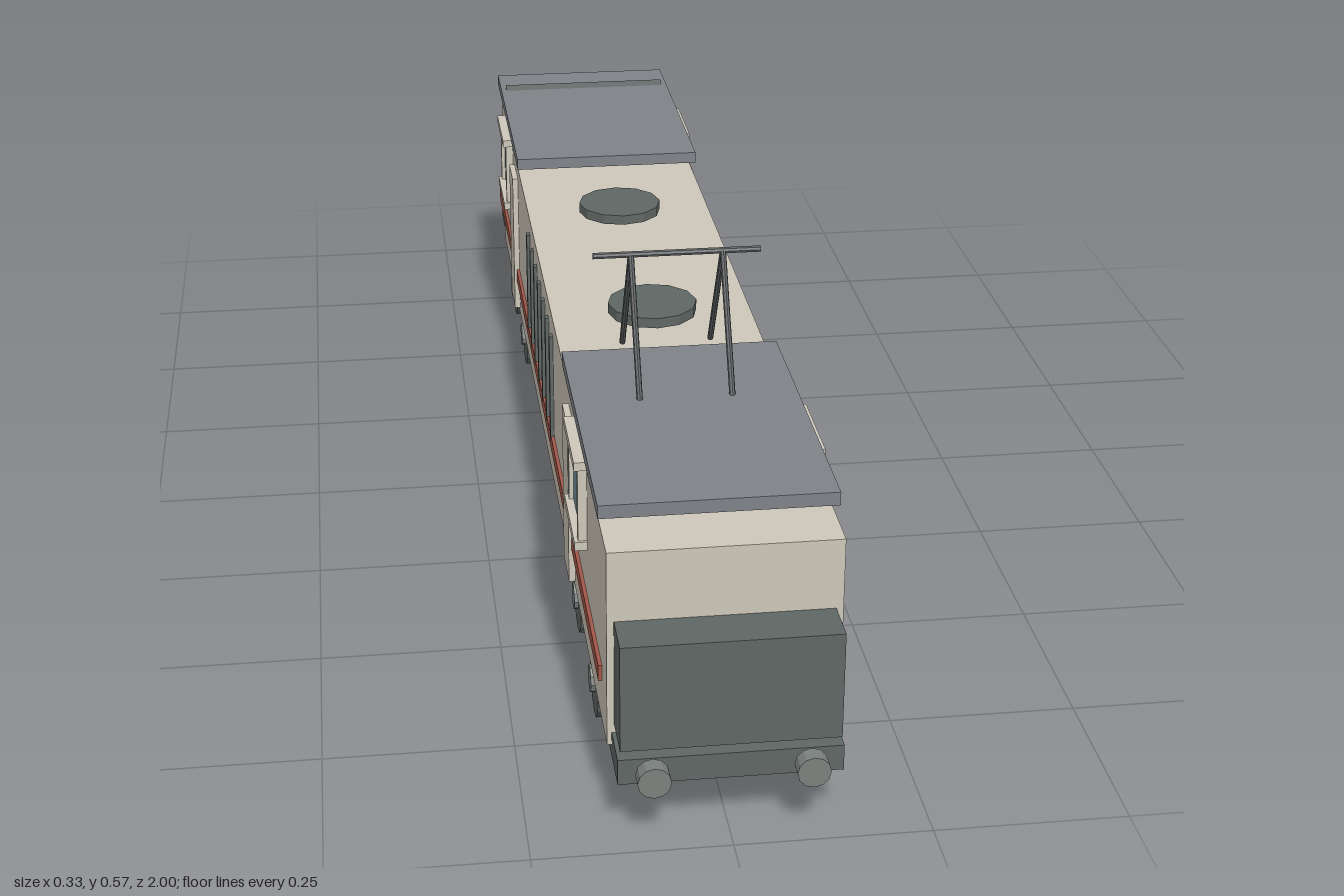
import * as THREE from 'three';

const mat = (color) => new THREE.MeshStandardMaterial({ color, flatShading: true });
const cream = mat(0xcdc7b9), dark = mat(0x5f6764), roofGrey = mat(0x7f8388), red = mat(0xa3584a);
const glass = mat(0x6d909c), steel = mat(0x7b817e), rodGrey = mat(0x5b5f61);

export function createModel() {
  const root = new THREE.Group();

  // Box given by its min/max extents on each axis
  const box = (name, m, [x0, x1], [y0, y1], [z0, z1], parent = root) => {
    const mesh = new THREE.Mesh(new THREE.BoxGeometry(x1 - x0, y1 - y0, z1 - z0), m);
    mesh.position.set((x0 + x1) / 2, (y0 + y1) / 2, (z0 + z1) / 2);
    mesh.name = name;
    parent.add(mesh);
    return mesh;
  };
  // Cylinder running between two points
  const rod = (name, m, a, b, r, sides = 12, parent = root) => {
    const p = new THREE.Vector3(...a), q = new THREE.Vector3(...b);
    const d = q.clone().sub(p);
    const mesh = new THREE.Mesh(new THREE.CylinderGeometry(r, r, d.length(), sides), m);
    mesh.position.copy(p).add(q).multiplyScalar(0.5);
    mesh.quaternion.setFromUnitVectors(new THREE.Vector3(0, 1, 0), d.normalize());
    mesh.name = name;
    parent.add(mesh);
    return mesh;
  };
  const span = (s, a, b) => (s > 0 ? [a, b] : [-b, -a]);

  // Underframe, body and end hoods
  box('underframe', dark, [-0.14, 0.14], [0.079, 0.114], [-0.972, 0.972]);
  box('body', cream, [-0.146, 0.146], [0.097, 0.366], [-0.806, 0.91]);
  box('frontHood', dark, [-0.137, 0.137], [0.126, 0.271], [0.85, 0.972]);
  box('rearHood', dark, [-0.137, 0.137], [0.126, 0.271], [-0.972, -0.75]);
  box('frontRoofRib', cream, [-0.143, 0.143], [0.36, 0.371], [0.782, 0.81]);
  box('frontRoofClip', dark, [-0.012, 0.012], [0.36, 0.37], [0.8, 0.815]);

  // Sloped rear cab panel, its top edge passing through the roof
  const slope = box('rearCabSlope', dark, [-0.141, 0.141], [0.235, 0.405], [-0.813, -0.793]);
  slope.position.set(0, 0.325, -0.799);
  slope.rotation.x = 0.44;

  // Cab roofs
  box('frontRoof', roofGrey, [-0.15, 0.15], [0.382, 0.4], [0.395, 0.853]);
  box('rearRoof', roofGrey, [-0.15, 0.15], [0.382, 0.4], [-0.85, -0.39]);

  // Roof fans
  for (const z of [-0.206, 0.206]) {
    rod('roofFan', dark, [0, 0.373, z], [0, 0.388, z], 0.065);
    rod('roofFanHub', dark, [0, 0.36, z], [0, 0.374, z], 0.012);
  }

  // Side details, mirrored left and right
  for (const s of [-1, 1]) {
    box('sideStripe', red, span(s, 0.14, 0.151), [0.157, 0.179], [-0.851, 0.858]);
    for (let i = -3; i <= 3; i++) {
      const z = i * 0.0675;
      box('sideVent', dark, span(s, 0.14, 0.1515), [0.172, 0.34], [z - 0.0065, z + 0.0065]);
    }
    for (const e of [-1, 1]) {
      box('door', cream, span(s, 0.14, 0.155), [0.108, 0.345], span(e, 0.446, 0.519));
      // Cab window with a raised frame
      const win = new THREE.Group();
      win.name = 'cabWindow';
      root.add(win);
      box('windowGlass', glass, span(s, 0.14, 0.152), [0.255, 0.37], span(e, 0.565, 0.68), win);
      for (const y of [0.25, 0.365])
        box('windowRail', cream, span(s, 0.14, 0.163), [y, y + 0.012], span(e, 0.553, 0.69), win);
      for (const z of [0.557, 0.674])
        box('windowPost', cream, span(s, 0.14, 0.158), [0.255, 0.37], span(e, z, z + 0.012), win);
    }
  }

  // Wheelsets
  for (const z of [-0.68, -0.46, 0.46, 0.68]) {
    const set = new THREE.Group();
    set.name = 'wheelset';
    root.add(set);
    rod('axle', rodGrey, [-0.13, 0.051, z], [0.13, 0.051, z], 0.008, 10, set);
    for (const s of [-1, 1]) {
      rod('wheel', dark, [s * 0.121, 0.05, z], [s * 0.138, 0.05, z], 0.051, 12, set);
      rod('wheelHub', steel, [s * 0.13, 0.051, z], [s * 0.144, 0.051, z], 0.019, 10, set);
    }
  }

  // Buffers at both ends
  for (const e of [-1, 1]) for (const x of [-0.098, 0.098]) {
    rod('bufferStem', steel, [x, 0.096, e * 0.965], [x, 0.096, e * 0.99], 0.014, 10);
    rod('bufferHead', steel, [x, 0.096, e * 0.978], [x, 0.096, e * 1], 0.021, 12);
  }

  // Pantograph
  const panto = new THREE.Group();
  panto.name = 'pantograph';
  root.add(panto);
  for (const x of [-0.062, 0.062]) for (const d of [-0.1, 0.1])
    rod('pantographArm', rodGrey, [x, 0.395, 0.462 + d], [x, 0.567, 0.462], 0.0042, 8, panto);
  rod('contactBar', rodGrey, [-0.113, 0.567, 0.462], [0.113, 0.567, 0.462], 0.0045, 8, panto);

  return root;
}
